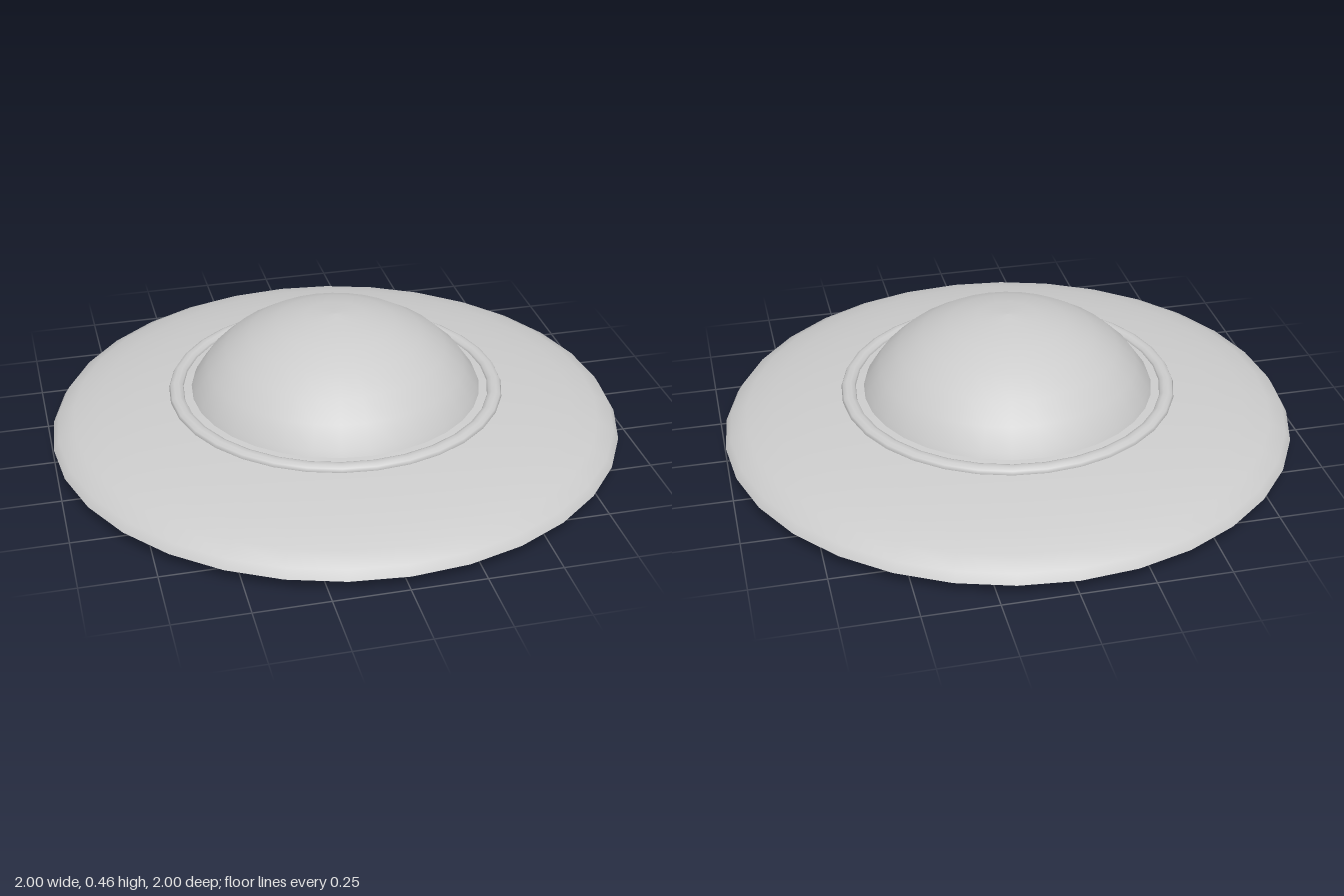
import * as THREE from 'three';

const SEGMENTS = 32;
const RIM_Y = 0.05;

// Quarter-ellipse profile from the axis (start angle) to the rim, for a lathe
function ellipsePoints(radius, height, from, to, steps) {
  return Array.from({ length: steps + 1 }, (_, i) => {
    const a = from + ((to - from) * i) / steps;
    return new THREE.Vector2(Math.max(0, Math.cos(a) * radius), Math.sin(a) * height);
  });
}

export function createModel() {
  const group = new THREE.Group();
  group.name = 'flyingSaucer';
  const material = new THREE.MeshStandardMaterial({ color: 0xcccccc });

  function add(name, geometry, y) {
    const mesh = new THREE.Mesh(geometry, material);
    mesh.name = name;
    mesh.position.y = y;
    group.add(mesh);
    return mesh;
  }

  // Shallow underside and domed upper hull meet at a sharp rim
  add('underside', new THREE.LatheGeometry(ellipsePoints(1, 0.05, -Math.PI / 2, 0, 8), SEGMENTS), RIM_Y);
  add('upperHull', new THREE.LatheGeometry(ellipsePoints(1, 0.16, 0, Math.PI / 2, 8), SEGMENTS), RIM_Y);

  // Cockpit dome rising through the hull
  add('dome', new THREE.LatheGeometry(ellipsePoints(0.54, 0.41, 0, Math.PI / 2, 8), SEGMENTS), RIM_Y);

  // Flattened collar around the dome
  const collar = new THREE.TorusGeometry(0.56, 0.026, 10, SEGMENTS);
  collar.rotateX(-Math.PI / 2);
  collar.scale(1, 0.68, 1);
  add('domeCollar', collar, 0.182);

  return group;
}
